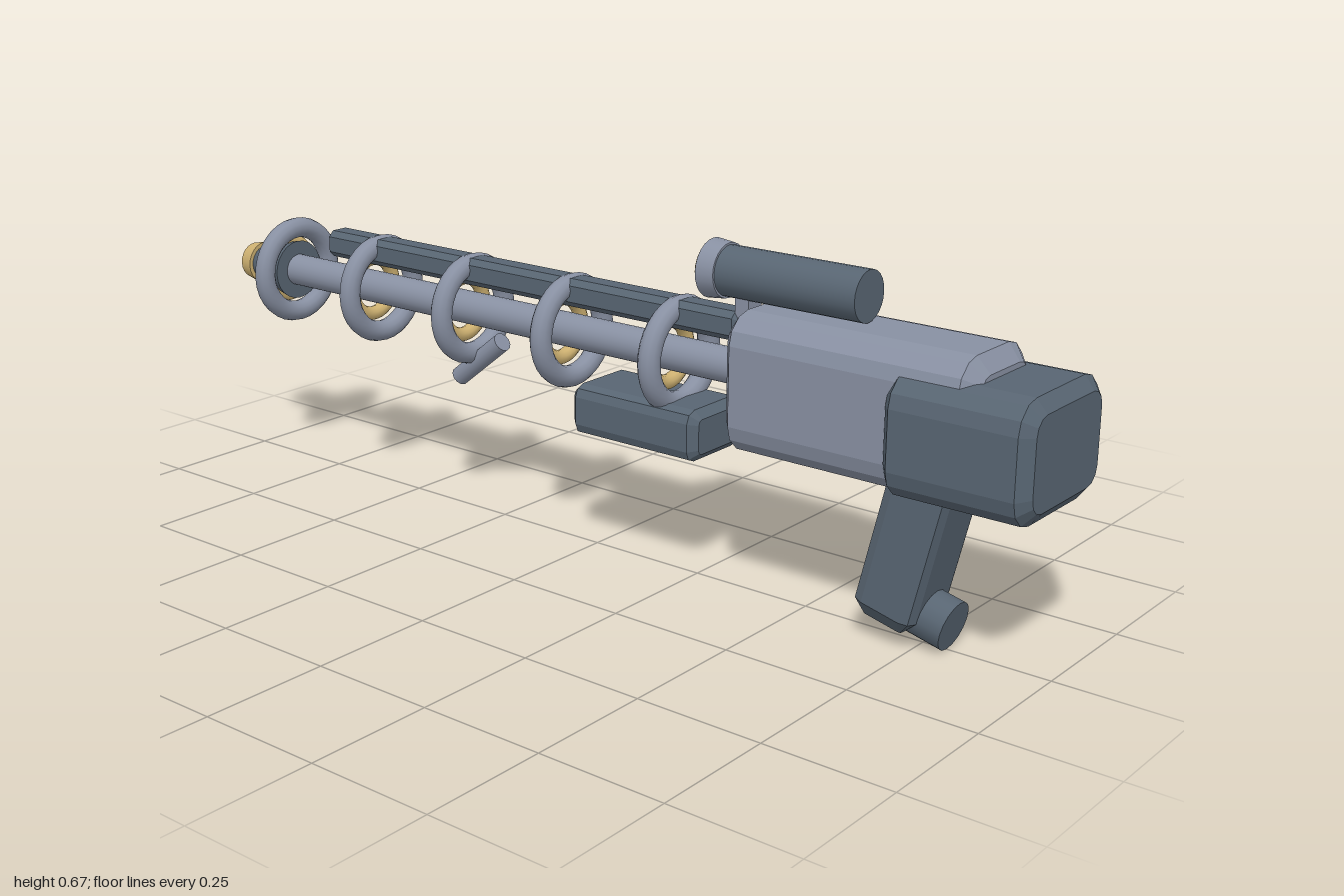
import * as THREE from 'three';

const mat = (name, color, flat = false) => {
  const m = new THREE.MeshStandardMaterial({ color });
  m.name = name;
  m.flatShading = flat;
  return m;
};

export function createModel() {
  const group = new THREE.Group();
  const light = mat('light steel', 0x8890a2, true);
  const dark = mat('dark slate', 0x586572, true);
  const gold = mat('brass', 0xcfb272);
  const steel = light.clone(); // same colour, smooth shaded
  steel.flatShading = false;
  const slate = dark.clone();
  slate.flatShading = false;

  const add = (name, geo, material, x, y, z, parent = group) => {
    const m = new THREE.Mesh(geo, material);
    m.name = name;
    m.position.set(x, y, z);
    parent.add(m);
    return m;
  };

  // Box with rounded long edges (along z) and chamfered ends
  const block = (w, h, d, r, bevel, steps = 3, thick = bevel) => {
    const a = w / 2 - bevel, b = h / 2 - bevel, q = Math.max(r - bevel, 0.002);
    const s = new THREE.Shape();
    [[1, 1], [-1, 1], [-1, -1], [1, -1]].forEach(([sx, sy], k) => {
      for (let i = 0; i <= steps; i++) {
        const t = (k + i / steps) * Math.PI / 2;
        const px = sx * (a - q) + q * Math.cos(t), py = sy * (b - q) + q * Math.sin(t);
        if (k + i === 0) s.moveTo(px, py); else s.lineTo(px, py);
      }
    });
    s.closePath();
    const g = new THREE.ExtrudeGeometry(s, {
      depth: d - 2 * thick, bevelEnabled: true, bevelSize: bevel,
      bevelThickness: thick, bevelSegments: 1, steps: 1,
    });
    return g.translate(0, 0, -(d - 2 * thick) / 2);
  };

  // Cylinder along z; r1 is the -z end, r2 the +z end
  const rod = (r1, r2, z1, z2, seg = 24) =>
    new THREE.CylinderGeometry(r2, r1, Math.abs(z2 - z1), seg)
      .rotateX(Math.PI / 2).translate(0, 0, (z1 + z2) / 2);

  // Stock and receiver
  add('stock', block(0.28, 0.22, 0.28, 0.058, 0.025, 3, 0.02), dark, 0, 0.395, 0.86);
  add('receiver', block(0.22, 0.262, 0.51, 0.06, 0.03, 3, 0.025), light, 0, 0.414, 0.623);

  // Raked grip with a round butt
  const grip = new THREE.Group();
  grip.name = 'grip';
  grip.position.set(0, 0.28, 0.755);
  grip.rotation.x = 0.235;
  group.add(grip);
  const handle = block(0.146, 0.125, 0.32, 0.028, 0.022, 2, 0.03).rotateX(Math.PI / 2);
  add('gripHandle', handle, dark, 0, -0.105, 0, grip);
  add('gripButt', rod(0.048, 0.048, 0, 0.11, 16), slate, 0, -0.23, 0, grip);

  // Trigger
  add('trigger', new THREE.BoxGeometry(0.02, 0.03, 0.015), light, 0, 0.276, 0.64);

  // Scope
  const ys = 0.594;
  add('scopeTube', rod(0.048, 0.048, 0.3, 0.61), slate, 0, ys, 0);
  add('scopeRing', rod(0.056, 0.052, 0.275, 0.312), steel, 0, ys, 0);
  add('scopeLens', rod(0.047, 0.047, 0.268, 0.28), gold, 0, ys, 0);
  add('scopeMount', new THREE.BoxGeometry(0.04, 0.06, 0.03), light, 0, 0.528, 0.355);

  // Barrel, upper rail and fore grip
  const yb = 0.415;
  add('barrel', rod(0.034, 0.034, -0.88, 0.4), steel, 0, yb, 0);
  add('rail', block(0.06, 0.056, 1.08, 0.016, 0.01, 1), dark, 0, 0.497, -0.19);
  add('foreGrip', block(0.164, 0.1, 0.3, 0.026, 0.016, 2), dark, 0, 0.285, 0.147);

  // Coils: a large steel ring with a smaller brass ring ahead of it
  for (let i = 0; i < 5; i++) {
    const z = 0.2 - i * 0.265;
    add('coil', new THREE.TorusGeometry(0.093, 0.022, 12, 32), steel, 0, yb, z);
    add('coilInsert', new THREE.TorusGeometry(0.06, 0.015, 10, 28), gold, 0, yb, z - 0.028);
  }

  // Muzzle
  add('muzzleCone', rod(0.037, 0.064, -0.965, -0.855), slate, 0, yb, 0);
  add('muzzleTip', rod(0.039, 0.046, -1, -0.965), gold, 0, yb, 0);

  // Short slanted lever under the barrel
  const lever = add('lever', rod(0.02, 0.02, -0.076, 0.076, 12), steel, 0, 0.31, -0.31);
  lever.rotation.x = -0.67;

  return group;
}
